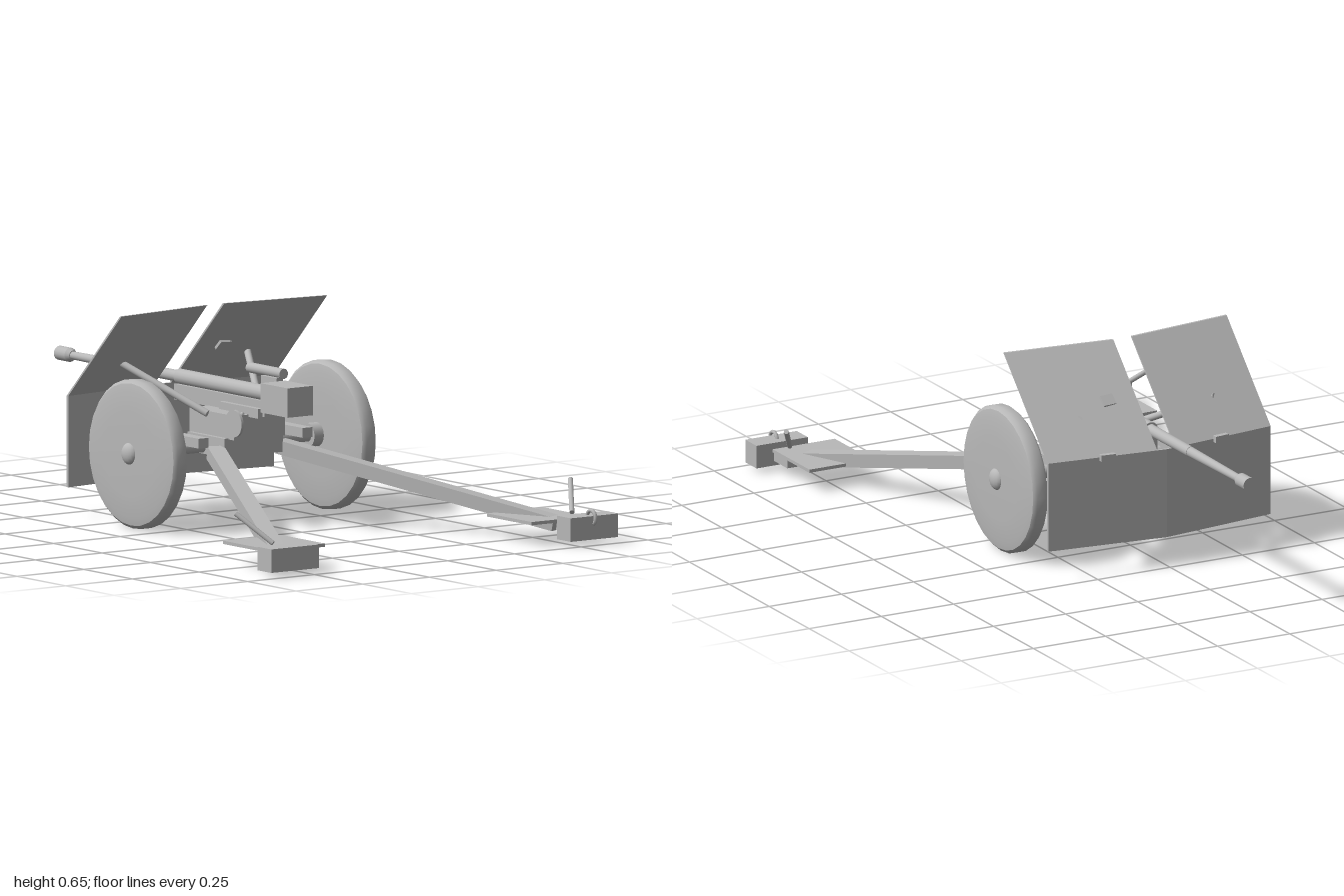
import * as THREE from 'three';

export function createModel() {
  const gun = new THREE.Group();
  gun.name = 'fieldGun';
  const gray = new THREE.MeshStandardMaterial({ color: 0xb8b8b8 });
  gray.name = 'plain gray';
  const V = (x, y, z) => new THREE.Vector3(x, y, z);

  function add(name, geometry) {
    const mesh = new THREE.Mesh(geometry, gray);
    mesh.name = name;
    gun.add(mesh);
    return mesh;
  }
  // Box given by its lower and upper limits on each axis
  function box(name, x0, x1, y0, y1, z0, z1) {
    const m = add(name, new THREE.BoxGeometry(Math.abs(x1 - x0), y1 - y0, z1 - z0));
    m.position.set((x0 + x1) / 2, (y0 + y1) / 2, (z0 + z1) / 2);
    return m;
  }
  // Round bar between two points
  function rod(name, a, b, r, r2 = r, sides = 16) {
    const m = add(name, new THREE.CylinderGeometry(r2, r, a.distanceTo(b), sides));
    m.position.copy(a).add(b).multiplyScalar(0.5);
    m.quaternion.setFromUnitVectors(V(0, 1, 0), b.clone().sub(a).normalize());
    return m;
  }
  // Square beam between two points, kept upright
  function beam(name, a, b, w, h) {
    const m = add(name, new THREE.BoxGeometry(w, h, a.distanceTo(b)));
    m.position.copy(a).add(b).multiplyScalar(0.5);
    m.lookAt(b);
    return m;
  }
  // Shield plate, swept back to the sides and leaning above the hinge line
  const shieldZ = (x, y) => -0.478 + 0.125 * Math.abs(x) + Math.max(0, y - 0.375);
  function shieldPlate(name, s, x0, x1, y0, y1) {
    const g = new THREE.BoxGeometry(x1 - x0, y1 - y0, 0.008);
    g.translate(s * (x0 + x1) / 2, (y0 + y1) / 2, 0);
    const p = g.attributes.position;
    for (let i = 0; i < p.count; i++) p.setZ(i, p.getZ(i) + shieldZ(p.getX(i), p.getY(i)));
    g.computeVertexNormals();
    return add(name, g);
  }

  // Barrel and muzzle
  rod('rearBarrel', V(0, 0.408, 0.11), V(0, 0.408, -0.38), 0.024);
  rod('midBarrel', V(0, 0.408, -0.36), V(0, 0.408, -0.63), 0.018, 0.017);
  rod('frontBarrel', V(0, 0.408, -0.62), V(0, 0.408, -0.96), 0.016, 0.012);
  rod('muzzleCollar', V(0, 0.408, -0.93), V(0, 0.408, -0.945), 0.015, 0.022);
  rod('muzzle', V(0, 0.408, -0.945), V(0, 0.408, -1), 0.022);

  // Breech, cradle and carriage
  box('breech', -0.047, 0.047, 0.357, 0.447, 0.1, 0.24);
  box('cradle', -0.025, 0.025, 0.34, 0.388, -0.375, 0.09);
  box('cradleSaddle', -0.042, 0.042, 0.335, 0.365, -0.12, 0.08);
  box('upperCarriage', -0.095, 0.095, 0.267, 0.342, -0.2, 0.03);
  box('lowerCarriage', -0.11, 0.11, 0.212, 0.27, -0.19, 0.0);

  // Sight on the left, elevating wheel on the right
  rod('sightTube', V(0.08, 0.458, 0.045), V(0.08, 0.458, -0.13), 0.016);
  box('sightBracket', 0.056, 0.08, 0.34, 0.446, -0.04, 0.04);
  box('sightArm', 0.025, 0.09, 0.39, 0.41, 0.03, 0.08);
  rod('elevatingShaft', V(-0.13, 0.325, 0.08), V(-0.05, 0.342, 0.01), 0.007);
  rod('handwheel', V(-0.134, 0.328, 0.08), V(-0.126, 0.328, 0.08), 0.042, 0.042, 20);

  // Axle
  rod('axle', V(-0.36, 0.235, -0.115), V(0.36, 0.235, -0.115), 0.02);

  // Wheel cross-section: radius and distance along the axle
  const wheelProfile = [
    [0, -0.034], [0.13, -0.034], [0.195, -0.029], [0.218, -0.025], [0.218, -0.025],
    [0.228, -0.015], [0.228, 0.015], [0.218, 0.025], [0.218, 0.025],
    [0.195, 0.029], [0.13, 0.034], [0, 0.034],
  ].map(([r, w]) => new THREE.Vector2(r, w));

  for (const s of [1, -1]) {
    // Wheels and hubs
    const wheel = add('wheel', new THREE.LatheGeometry(wheelProfile, 28));
    wheel.rotation.z = Math.PI / 2;
    wheel.position.set(s * 0.354, 0.232, -0.11);
    const hub = add('hub', new THREE.SphereGeometry(0.034, 16, 10));
    hub.scale.x = 0.6;
    hub.position.set(s * 0.384, 0.235, -0.11);
    rod('axleCollar', V(s * 0.285, 0.235, -0.115), V(s * 0.325, 0.235, -0.115), 0.037);

    // Shield halves with hinges, brackets and stays
    shieldPlate('lowerShield', s, 0, 0.385, 0.095, 0.375);
    shieldPlate('upperShield', s, 0.032, 0.385, 0.375, 0.65);
    const hinge = box('shieldHinge', s * 0.172, s * 0.22, 0.365, 0.385, -0.472, -0.455);
    hinge.rotation.y = -s * 0.125;
    box('shieldBracket', s * 0.176, s * 0.214, 0.25, 0.28, -0.45, 0.01);
    rod('shieldStay', V(s * 0.1, 0.335, -0.1), V(s * 0.235, 0.47, -0.355), 0.011);

    // Split trail with foot plate and end block
    beam('trail', V(s * 0.122, 0.226, -0.03), V(s * 0.525, 0.055, 0.84), 0.052, 0.042);
    box('footPlate', s * 0.387, s * 0.602, 0.068, 0.078, 0.67, 0.9);
    box('spade', s * 0.472, s * 0.65, 0.02, 0.092, 0.915, 0.985);
    box('spadeNeck', s * 0.525, s * 0.59, 0.035, 0.07, 0.83, 0.92);
    rod('trailLever', V(s * 0.56, 0.09, 0.87), V(s * 0.627, 0.175, 0.77), 0.008, 0.008, 10);
  }

  // Viewing hatch in the left shield
  const hatch = add('viewingHatch', new THREE.BoxGeometry(0.042, 0.035, 0.02));
  hatch.position.set(0.125, 0.505, shieldZ(0.125, 0.505));
  hatch.rotation.set(Math.PI / 4, 0, -0.06);

  // Towing ring on the left spade
  const ring = add('towRing', new THREE.TorusGeometry(0.022, 0.006, 8, 20));
  ring.rotation.y = Math.PI / 2;
  ring.position.set(0.56, 0.085, 0.97);

  return gun;
}
